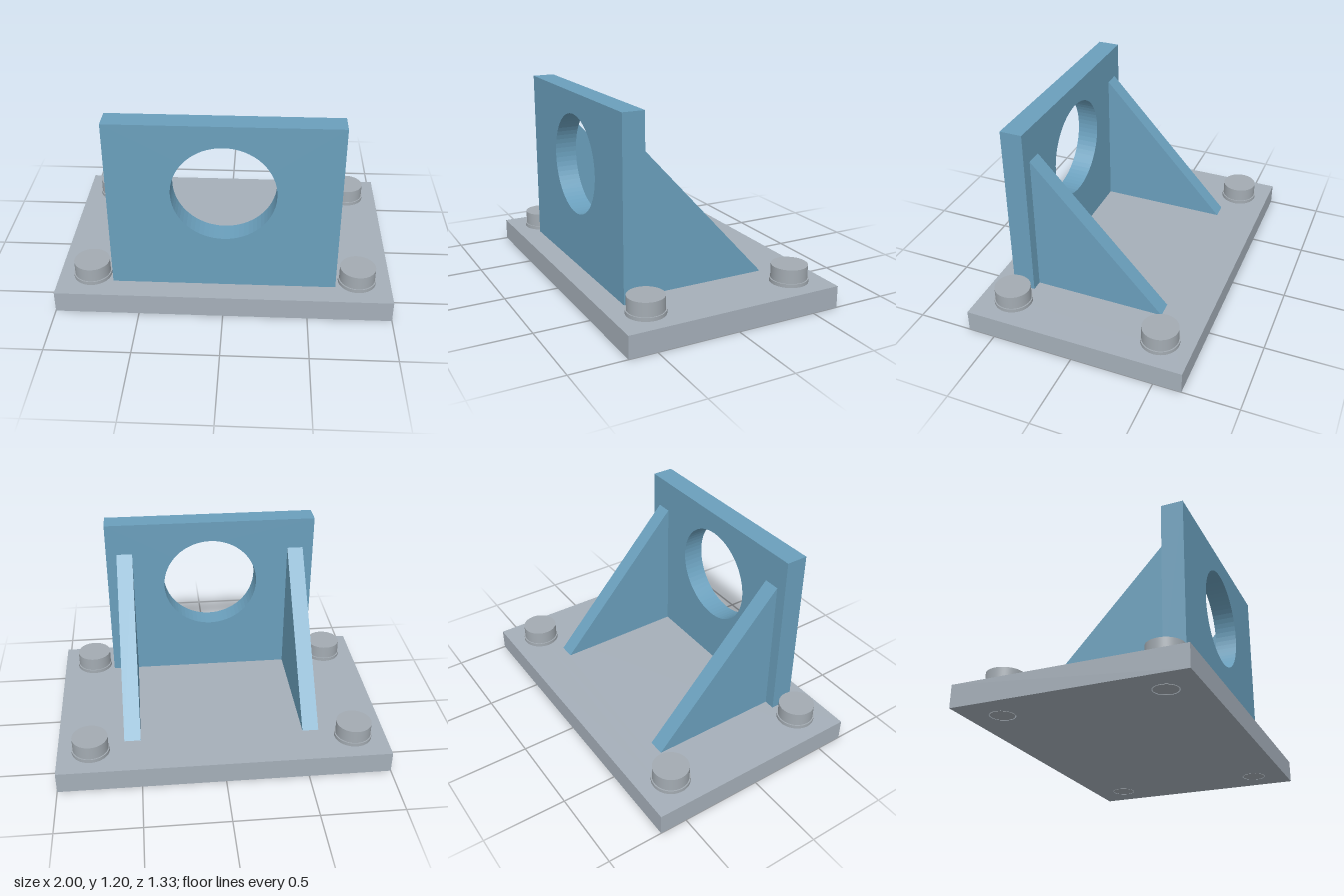
import * as THREE from 'three';

export function createModel() {
  const model = new THREE.Group();
  model.name = 'mountingBracket';

  const mat = (name, color) => {
    const m = new THREE.MeshStandardMaterial({ color });
    m.name = name;
    return m;
  };
  const plateGrey = mat('plateGrey', 0xa5afb9);
  const bracketBlue = mat('bracketBlue', 0x6a9fbc);
  const boltGrey = mat('boltGrey', 0xa3abb2);

  const add = (parent, name, geometry, material, x = 0, y = 0, z = 0) => {
    const mesh = new THREE.Mesh(geometry, material);
    mesh.name = name;
    mesh.position.set(x, y, z);
    parent.add(mesh);
    return mesh;
  };
  const rect = (w, y0, y1) => new THREE.Shape([
    new THREE.Vector2(-w / 2, y0), new THREE.Vector2(w / 2, y0),
    new THREE.Vector2(w / 2, y1), new THREE.Vector2(-w / 2, y1),
  ]);
  const punch = (shape, x, y, r) => shape.holes.push(new THREE.Path().absarc(x, y, r, 0, Math.PI * 2, true));
  const extrude = (shape, depth) => new THREE.ExtrudeGeometry(shape, { depth, bevelEnabled: false, curveSegments: 32 });

  const plateTop = 0.133;
  const boltX = 0.8, boltZ = 0.467;

  // Base plate with four clearance holes, laid flat
  const plate = rect(2, -0.667, 0.667);
  for (const x of [-boltX, boltX]) for (const z of [-boltZ, boltZ]) punch(plate, x, z, 0.073);
  add(model, 'basePlate', extrude(plate, plateTop).rotateX(-Math.PI / 2), plateGrey);

  // Upright wall with its round opening
  const wall = rect(1.333, plateTop, 1.2);
  punch(wall, 0, 0.768, 0.302);
  add(model, 'uprightWall', extrude(wall, 0.133), bracketBlue, 0, 0, 0.4);

  // Triangular gussets behind the wall; shape x runs along -z
  const gusset = new THREE.Shape([
    new THREE.Vector2(-0.4, plateTop), new THREE.Vector2(0.4, plateTop), new THREE.Vector2(-0.4, 1),
  ]);
  const gussetGeo = extrude(gusset, 0.1).translate(0, 0, -0.05).rotateY(Math.PI / 2);
  for (const s of [-1, 1]) add(model, s > 0 ? 'leftGusset' : 'rightGusset', gussetGeo, bracketBlue, s * 0.55);

  // Bolts: washer, head and shank through the plate
  const washerGeo = new THREE.CylinderGeometry(0.114, 0.114, 0.022, 48);
  const headGeo = new THREE.CylinderGeometry(0.107, 0.107, 0.083, 48);
  const shankGeo = new THREE.CylinderGeometry(0.067, 0.067, plateTop, 40);
  for (const x of [-boltX, boltX]) for (const z of [-boltZ, boltZ]) {
    const bolt = new THREE.Group();
    bolt.name = 'bolt';
    bolt.position.set(x, 0, z);
    add(bolt, 'washer', washerGeo, boltGrey, 0, plateTop + 0.011);
    add(bolt, 'boltHead', headGeo, boltGrey, 0, plateTop + 0.0635);
    add(bolt, 'boltShank', shankGeo, boltGrey, 0, plateTop / 2);
    model.add(bolt);
  }
  return model;
}
